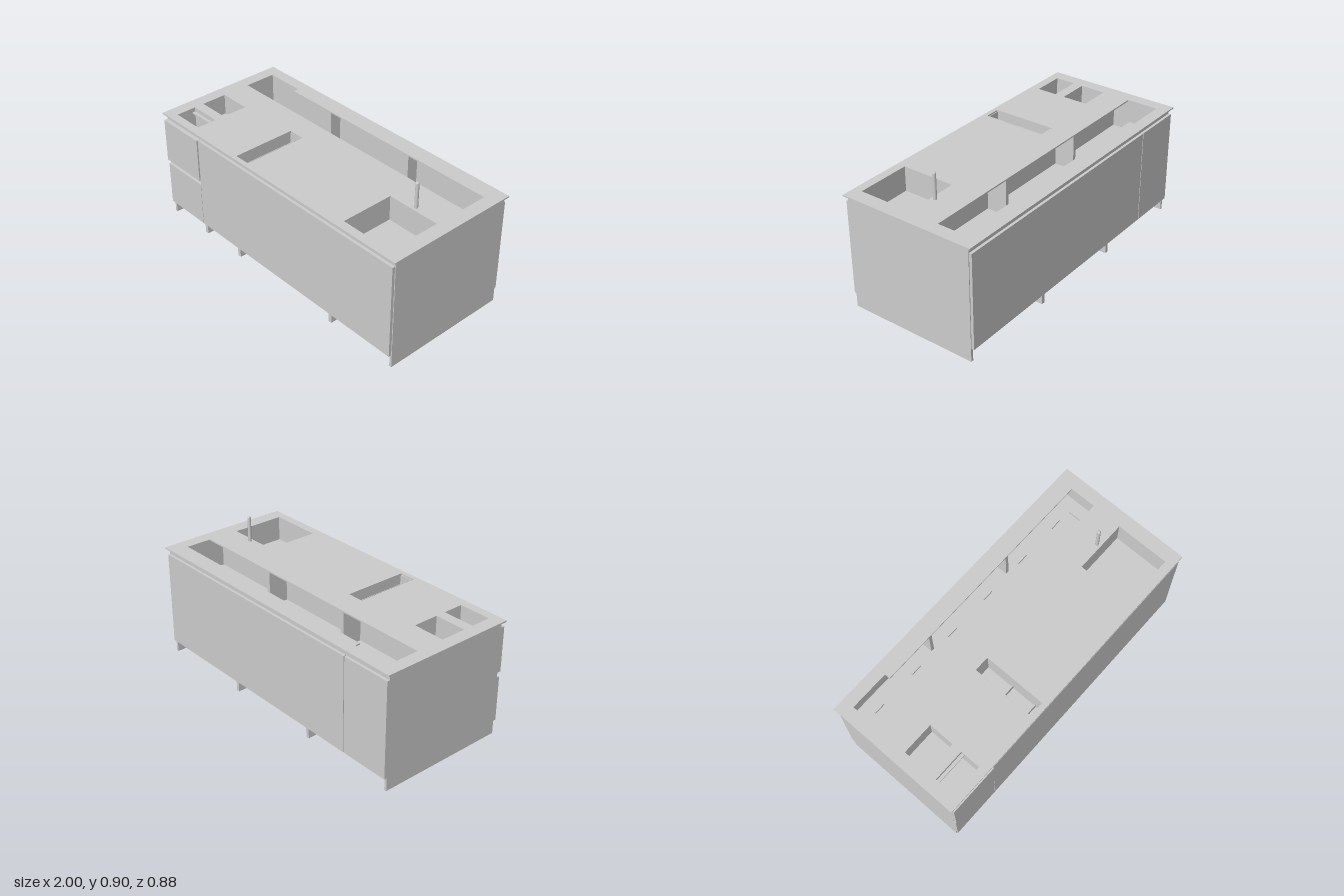
import * as THREE from 'three';

export function createModel() {
  const group = new THREE.Group();
  group.name = 'kitchenIsland';
  const mat = new THREE.MeshStandardMaterial({ color: 0xcccccc, side: THREE.DoubleSide });

  const add = (name, geo, parent = group) => {
    const mesh = new THREE.Mesh(geo, mat);
    mesh.name = name;
    parent.add(mesh);
    return mesh;
  };
  // Box given by its limits on each axis
  const box = (name, x0, x1, y0, y1, z0, z1, parent) => {
    const geo = new THREE.BoxGeometry(x1 - x0, y1 - y0, z1 - z0);
    geo.translate((x0 + x1) / 2, (y0 + y1) / 2, (z0 + z1) / 2);
    return add(name, geo, parent);
  };
  // Open-topped container lining a rectangular cutout
  const basin = (name, x0, x1, z0, z1, floor, top = 0.725) => {
    const g = new THREE.Group();
    g.name = name;
    group.add(g);
    const t = 0.006;
    box('basinFloor', x0 - t, x1 + t, floor - t, floor, z0 - t, z1 + t, g);
    for (const [a, b] of [[x0 - t, x0], [x1, x1 + t]]) box('basinSide', a, b, floor, top, z0 - t, z1 + t, g);
    for (const [a, b] of [[z0 - t, z0], [z1, z1 + t]]) box('basinEnd', x0, x1, floor, top, a, b, g);
    return g;
  };

  // Worktop with its cutouts (shape y is -z)
  const outline = (Kind, pts) => new Kind(pts.map(([x, z]) => new THREE.Vector2(x, -z)));
  const rect = (x0, x1, z0, z1) => [[x0, z0], [x1, z0], [x1, z1], [x0, z1]];
  const top = outline(THREE.Shape, rect(-1, 1, -0.44, 0.44));
  const sink = [0.565, 0.91, 0.04, 0.385];
  const slot = [-0.315, -0.21, 0.0, 0.41];
  const bowlBack = [-0.92, -0.715, 0.025, 0.19];
  const bowlFront = [-0.92, -0.715, 0.255, 0.385];
  for (const r of [sink, slot, bowlBack, bowlFront]) top.holes.push(outline(THREE.Path, rect(...r)));
  top.holes.push(outline(THREE.Path, [[-0.92, -0.365], [-0.665, -0.365], [-0.665, -0.33],
    [0.915, -0.33], [0.915, -0.16], [-0.92, -0.16]]));
  const topGeo = new THREE.ExtrudeGeometry(top, { depth: 0.009, bevelEnabled: false });
  topGeo.rotateX(-Math.PI / 2).translate(0, 0.724, 0);
  add('worktop', topGeo);

  // Basins set into the worktop
  basin('sink', ...sink, 0.575);
  basin('backBowl', ...bowlBack, 0.6);
  basin('frontBowl', ...bowlFront, 0.6);
  box('bowlLedge', -0.92, -0.715, 0.695, 0.705, 0.255, 0.275);
  basin('utensilSlot', ...slot, 0.56);
  for (const z of [0.185, 0.355]) box('slotDivider', slot[0], slot[1], 0.56, 0.6, z, z + 0.006);
  for (const [x0, x1] of [[-0.315, -0.311], [-0.214, -0.21]]) box('slotRim', x0, x1, 0.72, 0.735, 0.0, 0.41);

  // Tap with a rounded tip
  const tap = add('tap', new THREE.CapsuleGeometry(0.011, 0.158, 6, 20));
  tap.position.set(0.735, 0.81, 0.014);

  // Carcass: ends, middle walls, front and back walls, floors
  for (const s of [-1, 1]) {
    const x = s * 0.977;
    box('endPanel', x - 0.008, x + 0.008, 0, 0.725, -0.418, 0.418);
  }
  box('middleWall', -0.97, 0.97, 0, 0.5, -0.03, -0.012);
  box('middleWallUpper', -0.97, 0.97, 0.5, 0.724, -0.03, -0.012);
  box('frontWall', -0.97, 0.97, 0.083, 0.724, 0.405, 0.418);
  box('backWall', -0.97, 0.97, 0.083, 0.724, -0.418, -0.408);
  box('frontFloor', -0.97, 0.97, 0.083, 0.095, -0.012, 0.405);
  box('backFloor', -0.97, 0.97, 0.083, 0.095, -0.408, -0.03);

  // Trough floor, with notched partitions left standing on both sides of it
  box('troughFloor', -0.97, 0.97, 0.49, 0.5, -0.408, -0.03);
  for (const s of [-1, 1]) {
    const x = s * 0.33;
    box('backPartition', x - 0.011, x + 0.011, 0, 0.49, -0.415, -0.03);
    box('partitionRearPost', x - 0.011, x + 0.011, 0.5, 0.724, -0.408, -0.331);
    box('partitionFrontPost', x - 0.011, x + 0.011, 0.5, 0.724, -0.159, -0.03);
  }
  // Small clips along the trough
  for (let i = 0; i < 6; i++) {
    const x = -0.797 + i * 0.312;
    box('troughClip', x - 0.037, x + 0.037, 0.5, 0.515, -0.327, -0.315);
    box('troughClip', x - 0.037, x + 0.037, 0.5, 0.515, -0.184, -0.172);
  }
  box('troughSocket', 0.88, 0.915, 0.5, 0.52, -0.31, -0.215);

  // Front-row partitions reaching the ground
  for (const x of [-0.657, -0.33, 0.49]) box('frontPartition', x - 0.012, x + 0.012, 0, 0.083, -0.012, 0.415);

  // Shallow housings hanging below the front cabinets
  box('underHousing', -0.63, 0.855, 0.05, 0.084, 0.18, 0.36);
  box('underTray', -0.83, -0.48, 0.06, 0.084, 0.25, 0.4);

  // Door fronts and drawer front, leaving a finger channel below the worktop
  box('frontDoor', -0.655, 0.98, 0.083, 0.69, 0.418, 0.436);
  box('lowerDrawerFront', -0.985, -0.658, 0.083, 0.372, 0.418, 0.436);
  box('upperDrawerFront', -0.985, -0.658, 0.403, 0.69, 0.418, 0.443);
  box('backDoor', -0.655, 0.98, 0.083, 0.69, -0.435, -0.418);
  box('backSideDoor', -0.985, -0.66, 0.083, 0.69, -0.435, -0.418);

  return group;
}
